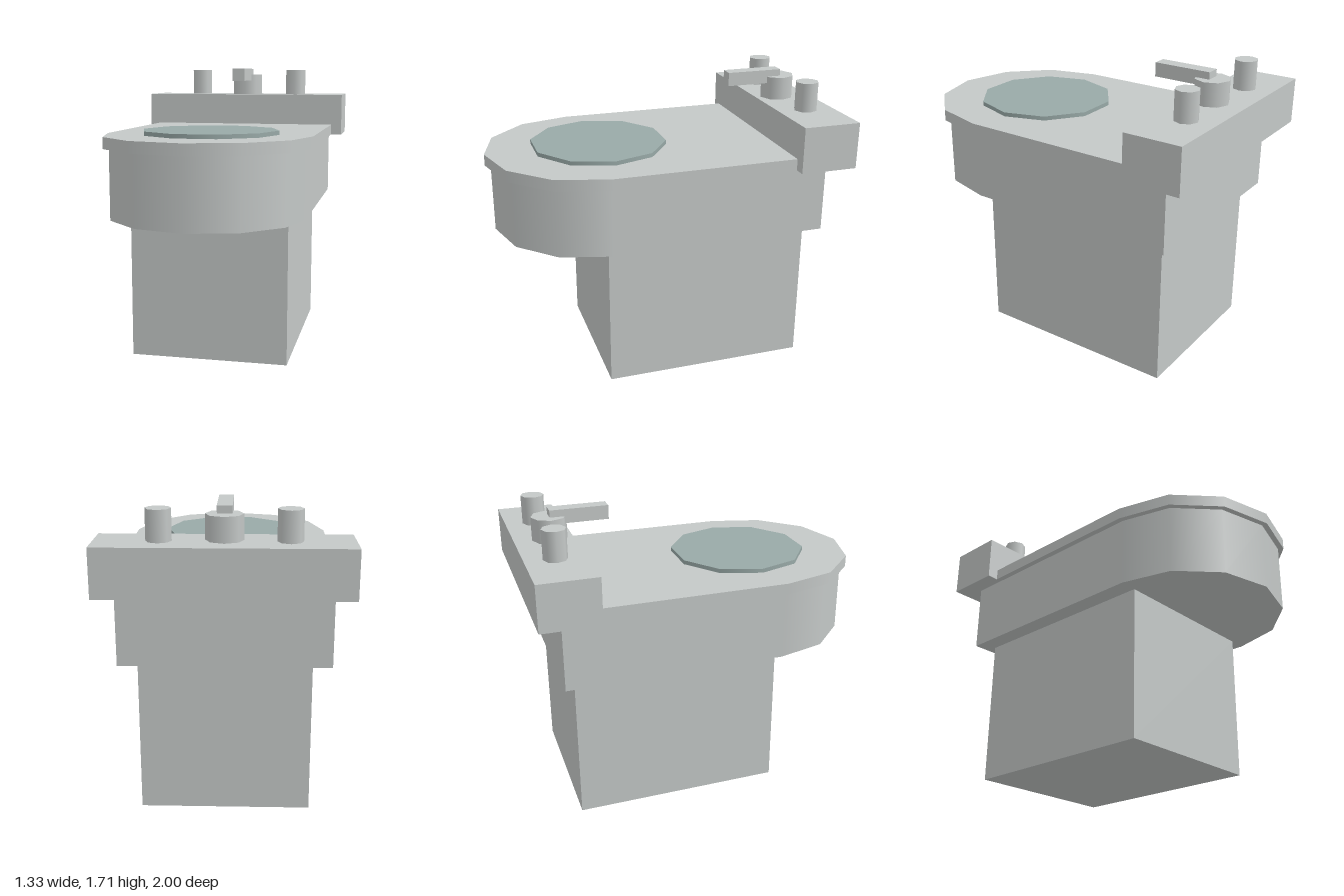
import * as THREE from 'three';

export function createModel() {
  const model = new THREE.Group();
  const porcelain = new THREE.MeshStandardMaterial({ name: 'greyPorcelain', color: 0xc4c8c7 });
  const water = new THREE.MeshStandardMaterial({ name: 'paleTeal', color: 0x98a9a7 });

  const add = (parent, name, geometry, material, x, y, z) => {
    const mesh = new THREE.Mesh(geometry, material);
    mesh.name = name;
    mesh.position.set(x, y, z);
    parent.add(mesh);
    return mesh;
  };

  // Box given by half width, bottom, top, back and front
  const box = (parent, name, halfW, y0, y1, z0, z1) =>
    add(parent, name, new THREE.BoxGeometry(halfW * 2, y1 - y0, z1 - z0),
      porcelain, 0, (y0 + y1) / 2, (z0 + z1) / 2);

  // Upright cylinder with a corner pointing along x
  const post = (parent, name, radius, sides, y0, y1, x, z, material = porcelain) =>
    add(parent, name,
      new THREE.CylinderGeometry(radius, radius, y1 - y0, sides, 1, false, Math.PI / 2),
      material, x, (y0 + y1) / 2, z);

  // Slab with a straight back and a half-round front centred on z = 0.4
  const roundedSlab = (name, radius, y0, y1, back) => {
    const group = new THREE.Group();
    group.name = name;
    box(group, name + 'Back', radius, y0, y1, back, 0.4);
    add(group, name + 'Front',
      new THREE.CylinderGeometry(radius, radius, y1 - y0, 6, 1, false, -Math.PI / 2, Math.PI),
      porcelain, 0, (y0 + y1) / 2, 0.4);
    model.add(group);
  };

  // Body
  box(model, 'pedestal', 0.467, 0, 0.867, -0.8, 0.4);
  roundedSlab('basin', 0.567, 0.867, 1.267, -0.867);
  roundedSlab('rim', 0.6, 1.267, 1.333, -0.667);
  post(model, 'waterSurface', 0.4, 10, 1.333, 1.357, 0, 0.333, water);

  // Ledge and taps
  box(model, 'backLedge', 0.667, 1.267, 1.533, -1, -0.667);
  for (const side of [-1, 1]) {
    post(model, side > 0 ? 'leftTap' : 'rightTap', 0.067, 8, 1.533, 1.7, side * 0.333, -0.833);
  }
  post(model, 'spoutBase', 0.1, 8, 1.533, 1.667, 0, -0.8);
  box(model, 'spout', 0.04, 1.627, 1.707, -0.8, -0.467);

  return model;
}
